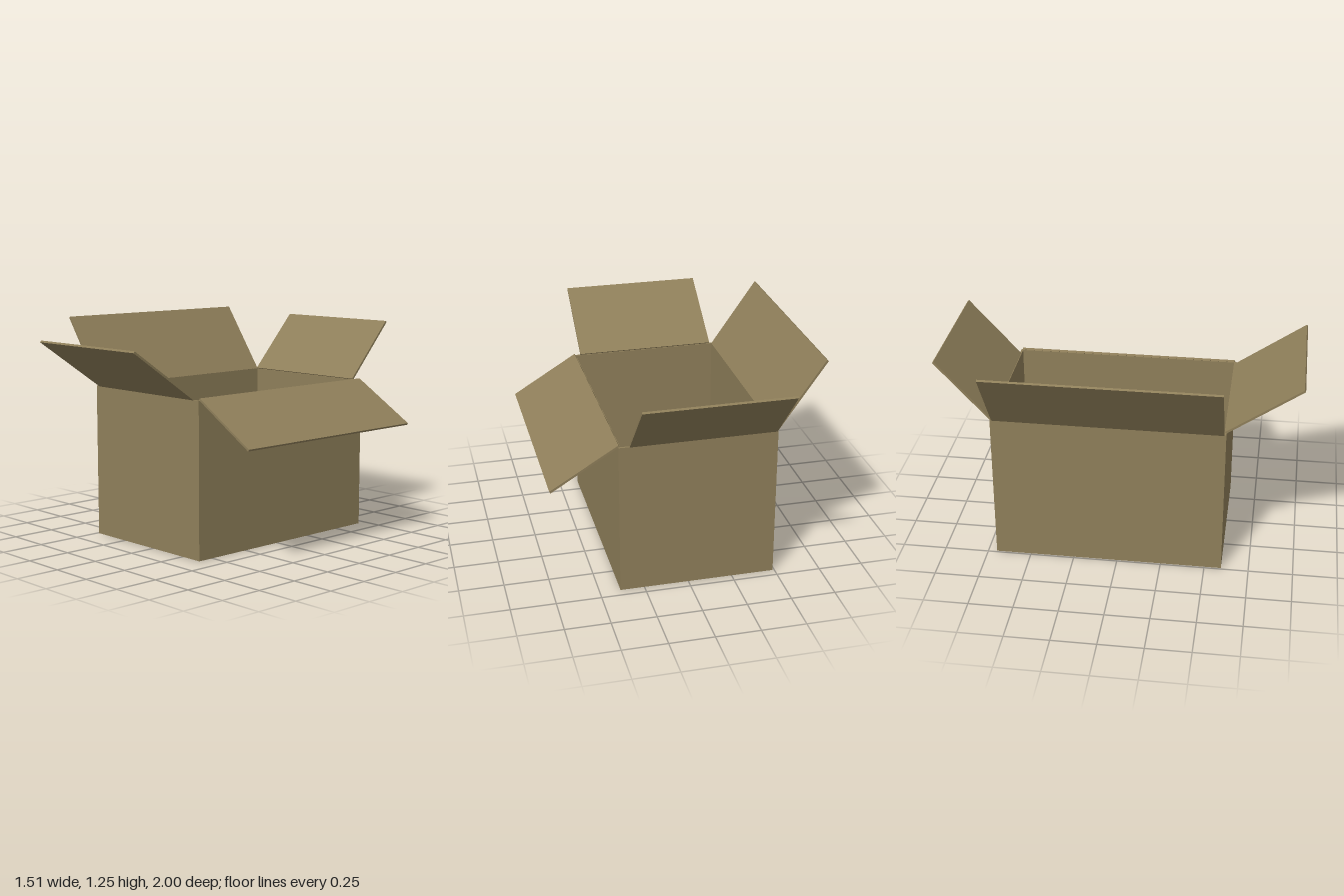
import * as THREE from 'three';

const T = 0.012; // cardboard thickness
const X0 = -0.49, X1 = 0.385, Z0 = -0.70, Z1 = 0.595, H = 0.87;

export function createModel() {
  const group = new THREE.Group();
  group.name = 'openCardboardBox';
  const cardboard = new THREE.MeshStandardMaterial({ color: 0x8f7f5a, flatShading: true });

  // Board filling the given min/max ranges
  function board(name, [x0, x1], [y0, y1], [z0, z1]) {
    const mesh = new THREE.Mesh(new THREE.BoxGeometry(x1 - x0, y1 - y0, z1 - z0), cardboard);
    mesh.position.set((x0 + x1) / 2, (y0 + y1) / 2, (z0 + z1) / 2);
    mesh.name = name;
    group.add(mesh);
  }

  // Tilted flap: runs from hinge to tip (u, y), spans w0..w1 along the hinge
  function flap(name, axis, [u0, y0], [u1, y1], [w0, w1]) {
    const length = Math.hypot(u1 - u0, y1 - y0);
    const angle = Math.atan2(y1 - y0, u1 - u0);
    const u = (u0 + u1) / 2, y = (y0 + y1) / 2, w = (w0 + w1) / 2;
    const alongX = axis === 'x';
    const size = alongX ? [length, T, w1 - w0] : [w1 - w0, T, length];
    const mesh = new THREE.Mesh(new THREE.BoxGeometry(...size), cardboard);
    if (alongX) {
      mesh.position.set(u, y, w);
      mesh.rotation.z = angle;
    } else {
      mesh.position.set(w, y, u);
      mesh.rotation.x = -angle;
    }
    mesh.name = name;
    group.add(mesh);
  }

  // Walls
  board('frontWall', [X0, X1], [0, H], [Z1 - T, Z1]);
  board('backWall', [X0, X1], [0, H], [Z0, Z0 + T]);
  board('leftWall', [X1 - T, X1], [0, H], [Z0 + T, Z1 - T]);
  board('rightWall', [X0, X0 + T], [0, H], [Z0 + T, Z1 - T]);

  // Bottom with two inner flaps that leave a narrow seam
  const inside = [X0 + T, X1 - T];
  board('bottom', inside, [0, T], [Z0 + T, Z1 - T]);
  board('innerBottomFlapBack', inside, [T, 2 * T], [Z0 + T, -0.063]);
  board('innerBottomFlapFront', inside, [T, 2 * T], [-0.049, Z1 - T]);

  // Open top flaps
  flap('frontFlap', 'z', [0.589, 0.871], [0.996, 1.152], [-0.465, 0.345]);
  flap('backFlap', 'z', [-0.694, 0.87], [-0.994, 1.199], [-0.485, 0.325]);
  flap('leftFlap', 'x', [0.379, 0.877], [0.752, 0.65], [-0.69, 0.585]);
  flap('rightFlap', 'x', [-0.484, 0.867], [-0.751, 1.248], [-0.69, 0.585]);

  return group;
}
